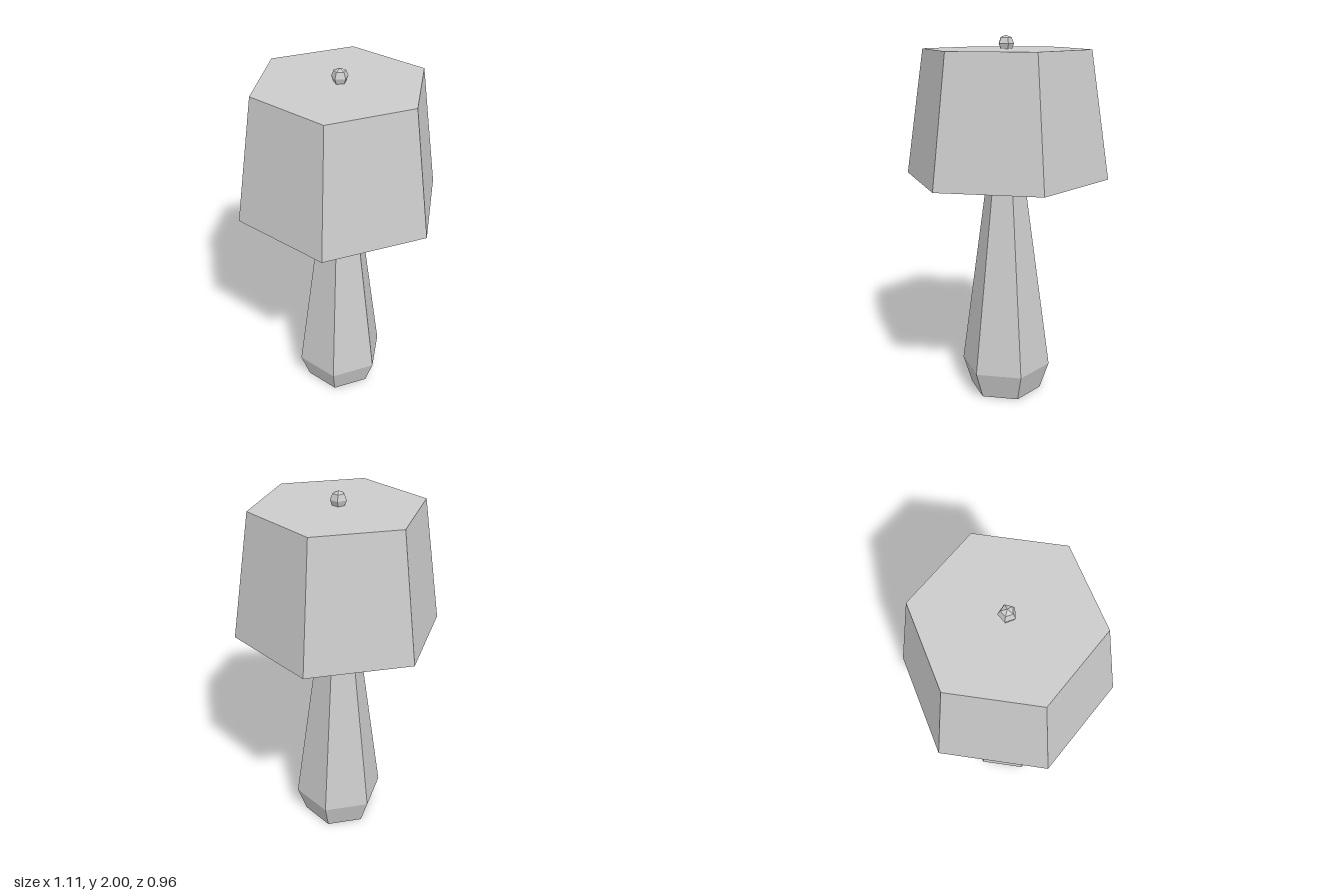
import * as THREE from 'three';

const material = new THREE.MeshStandardMaterial({ color: 0xcccccc, flatShading: true });

// Six-sided tapered prism between two heights, corners on the x axis
function hexPrism(name, bottomY, topY, bottomRadius, topRadius, openTop = false) {
  const height = topY - bottomY;
  const geometry = new THREE.CylinderGeometry(topRadius, bottomRadius, height, 6, 1, openTop);
  geometry.rotateY(Math.PI / 2);
  const mesh = new THREE.Mesh(geometry, material);
  mesh.name = name;
  mesh.position.y = bottomY + height / 2;
  return mesh;
}

export function createModel() {
  const lamp = new THREE.Group();
  lamp.name = 'tableLamp';

  // Body: one closed faceted profile that flares at the foot, then tapers up
  const profile = [[0, 0], [0.202, 0], [0.253, 0.153], [0.115, 1.16], [0, 1.16]]
    .map(([r, y]) => new THREE.Vector2(r, y));
  const body = new THREE.Mesh(new THREE.LatheGeometry(profile, 6, Math.PI / 2), material);
  body.name = 'body';
  lamp.add(body);

  // Neck and closed shade
  lamp.add(hexPrism('neck', 1.16, 1.25, 0.064, 0.064, true));
  lamp.add(hexPrism('shade', 1.25, 1.928, 0.557, 0.453));

  // Five-sided finial with one corner towards +x
  const finial = new THREE.Mesh(new THREE.SphereGeometry(0.044, 5, 4), material);
  finial.name = 'finial';
  finial.rotation.y = Math.PI;
  finial.position.y = 1.956;
  lamp.add(finial);

  return lamp;
}
